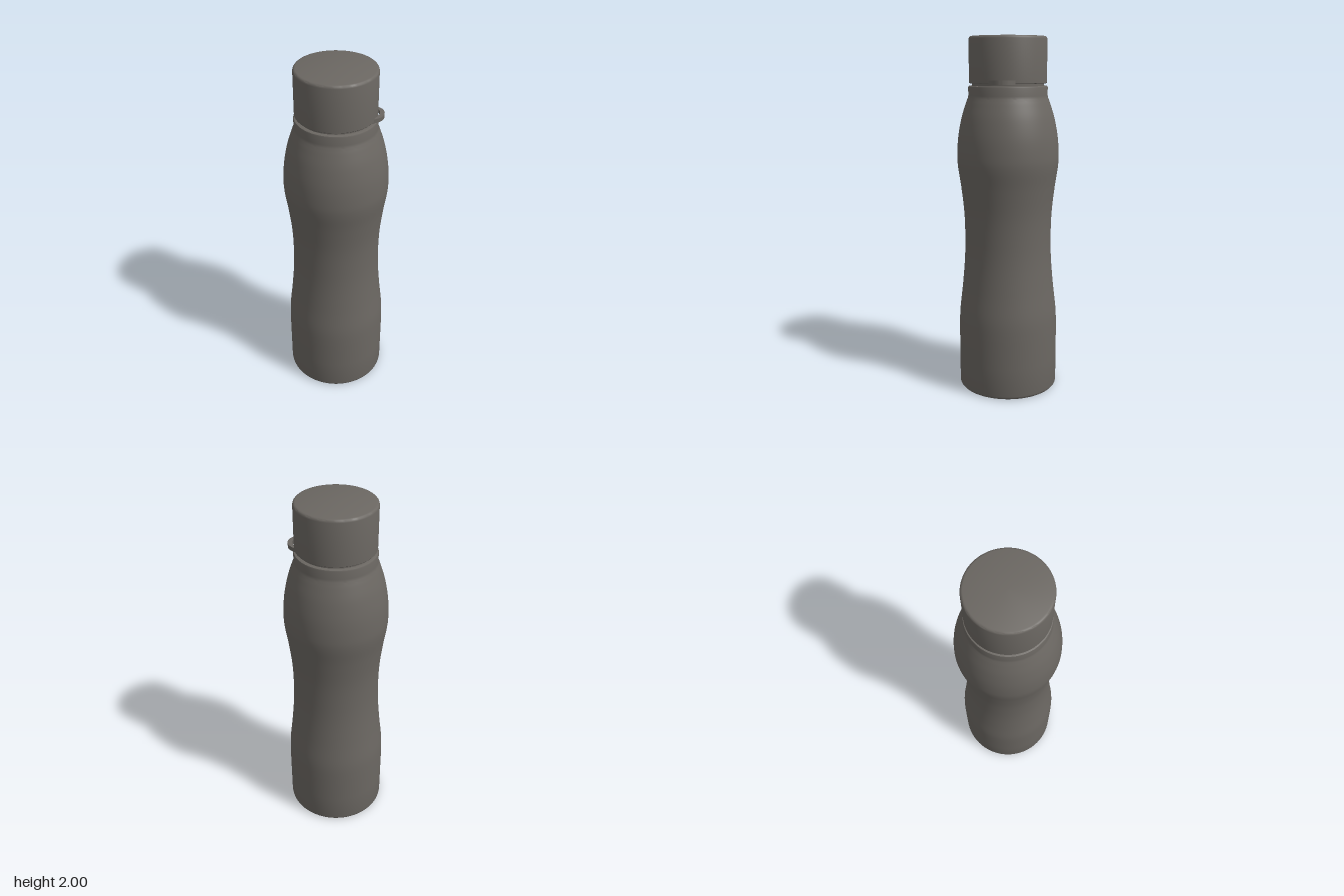
import * as THREE from 'three';
import { toCreasedNormals } from 'three/addons/utils/BufferGeometryUtils.js';

const V = (x, y) => new THREE.Vector2(x, y);

export function createModel() {
  const group = new THREE.Group();
  const material = new THREE.MeshStandardMaterial({ color: 0x6b6762 });
  material.name = 'warm dark grey';

  const add = (name, geometry) => {
    const mesh = new THREE.Mesh(toCreasedNormals(geometry, 0.6), material);
    mesh.name = name;
    group.add(mesh);
  };
  const turn = (name, points) => add(name, new THREE.LatheGeometry(points, 96));

  // Waisted body: straight base, slim grip, round shoulder
  const wall = new THREE.SplineCurve([
    V(0.283, 0.34), V(0.279, 0.45), V(0.262, 0.6), V(0.249, 0.75), V(0.245, 0.88),
    V(0.249, 1.03), V(0.265, 1.18), V(0.281, 1.29), V(0.284, 1.36), V(0.277, 1.46),
    V(0.258, 1.56), V(0.235, 1.635), V(0.222, 1.67),
  ]).getPoints(60);
  turn('body', [
    V(0, 0), V(0.268, 0), V(0.276, 0.003), V(0.281, 0.009), V(0.283, 0.018), V(0.283, 0.18),
    ...wall,
    V(0.219, 1.685), V(0.219, 1.728), V(0.217, 1.734), V(0.212, 1.736), V(0.19, 1.736),
  ]);

  // Recessed neck seen in the gap under the cap
  turn('neck', [V(0.198, 1.73), V(0.198, 1.76)]);

  // Cap with a softly rounded top edge
  turn('cap', [
    V(0.19, 1.75), V(0.212, 1.75), V(0.2145, 1.753), V(0.2145, 1.985), V(0.2125, 1.993),
    V(0.208, 1.998), V(0.201, 2), V(0, 2),
  ]);

  // Flat carrying loop on the front left of the cap rim
  const at = (radius, degrees) => {
    const a = THREE.MathUtils.degToRad(degrees);
    return V(radius * Math.cos(a), radius * Math.sin(a));
  };
  const smooth = (list) => new THREE.SplineCurve(list.map(([r, d]) => at(r, d))).getPoints(28);
  const loop = new THREE.Shape([
    ...smooth([[0.213, 25], [0.225, 29], [0.24, 35], [0.247, 42], [0.247, 48], [0.24, 55], [0.225, 61], [0.213, 65]]),
    ...smooth([[0.19, 65], [0.19, 45], [0.19, 25]]),
  ]);
  loop.holes.push(new THREE.Path([
    ...smooth([[0.211, 31], [0.219, 36], [0.225, 45], [0.219, 54], [0.211, 59]]),
    ...smooth([[0.2, 57], [0.2, 45], [0.2, 33]]),
  ]));
  const loopGeometry = new THREE.ExtrudeGeometry(loop, { depth: 0.022, bevelEnabled: false });
  loopGeometry.rotateX(Math.PI / 2).translate(0, 1.768, 0);
  add('carryLoop', loopGeometry);

  return group;
}
